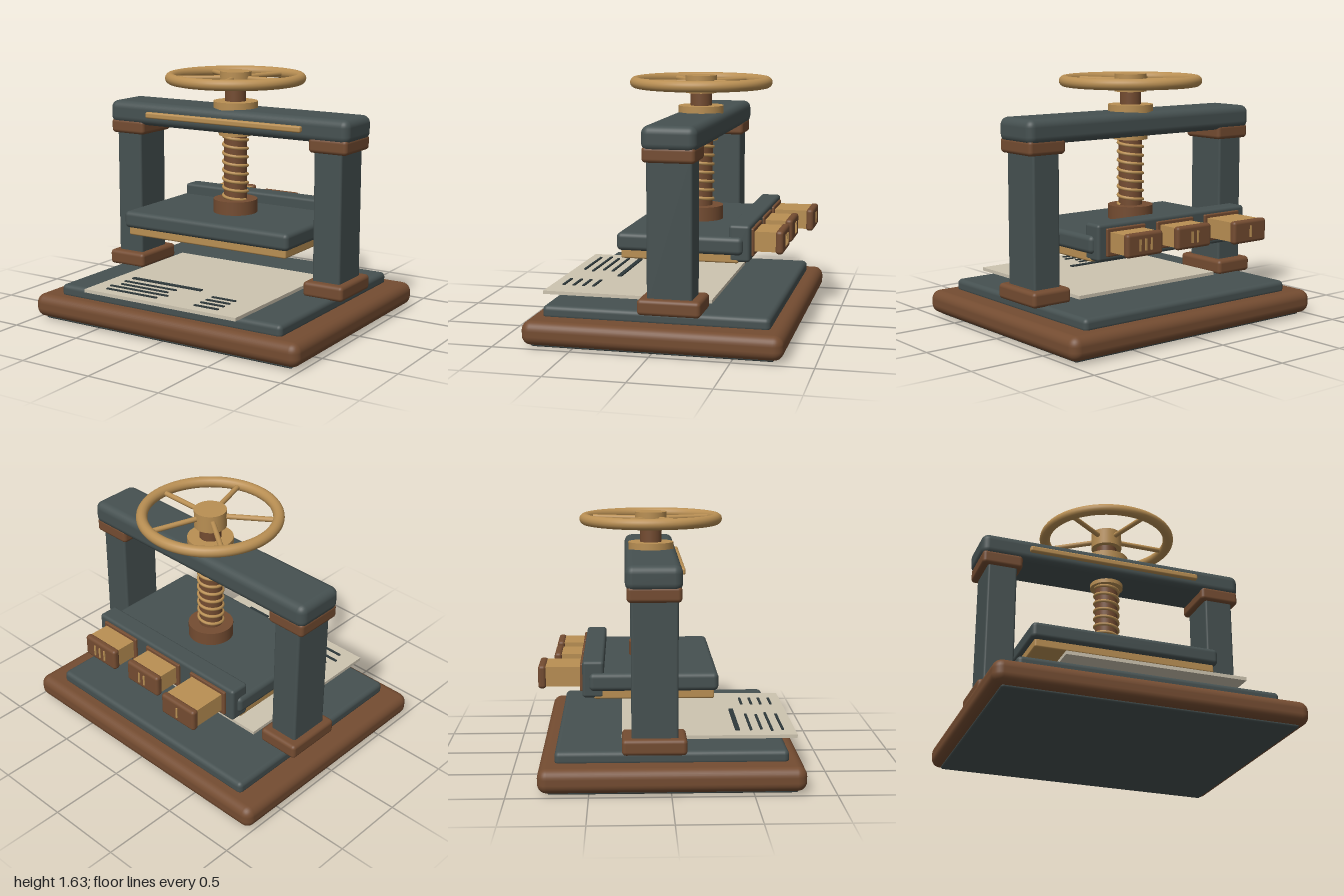
import * as THREE from 'three';
import { RoundedBoxGeometry } from 'three/addons/geometries/RoundedBoxGeometry.js';

const material = (name, color) => {
  const m = new THREE.MeshStandardMaterial({ color });
  m.name = name;
  return m;
};

export function createModel() {
  const steel = material('dark steel', 0x465151);
  const wood = material('walnut', 0x744c31);
  const brass = material('brass', 0xb98f53);
  const paper = material('paper', 0xcdc4b0);
  const ink = material('ink', 0x2e393b);

  const press = new THREE.Group();
  press.name = 'screwPress';
  const SZ = -0.103; // z of the screw axis

  const add = (name, geometry, mat, parent = press) => {
    const mesh = new THREE.Mesh(geometry, mat);
    mesh.name = name;
    parent.add(mesh);
    return mesh;
  };
  // Box given by its limits on each axis; r rounds the edges
  const box = (name, mat, [x0, x1], [y0, y1], [z0, z1], r = 0, parent = press) => {
    const s = [x1 - x0, y1 - y0, z1 - z0];
    const g = r ? new RoundedBoxGeometry(...s, 4, r) : new THREE.BoxGeometry(...s);
    const mesh = add(name, g, mat, parent);
    mesh.position.set((x0 + x1) / 2, (y0 + y1) / 2, (z0 + z1) / 2);
    return mesh;
  };
  // Upright cylinder on the screw axis
  const disc = (name, mat, r, y0, y1) => {
    const mesh = add(name, new THREE.CylinderGeometry(r, r, y1 - y0, 40), mat);
    mesh.position.set(0, (y0 + y1) / 2, SZ);
    return mesh;
  };

  // Base
  box('underPlate', steel, [-0.94, 0.94], [0, 0.04], [-0.75, 0.77], 0.015);
  box('base', wood, [-1, 1], [0.015, 0.168], [-0.81, 0.82], 0.06);
  box('bed', steel, [-0.84, 0.84], [0.15, 0.237], [-0.71, 0.725], 0.03);

  // Printed sheet
  box('sheet', paper, [-0.575, 0.575], [0.243, 0.265], [-0.3, 0.81]);
  const lines = [
    [-0.46, 0.085, 0.44, 0.03],
    [-0.46, -0.05, 0.527, 0.016], [-0.44, -0.07, 0.595, 0.016],
    [-0.48, -0.025, 0.66, 0.016], [-0.455, -0.06, 0.73, 0.016],
    ...[0.527, 0.595, 0.66, 0.73].map((z) => [0.225, 0.4, z, 0.016]),
  ];
  for (const [x0, x1, z, w] of lines) {
    box('printedLine', ink, [x0, x1], [0.264, 0.273], [z - w / 2, z + w / 2]);
  }

  // Columns with feet and caps
  for (const side of [-1, 1]) {
    const column = new THREE.Group();
    column.name = side > 0 ? 'leftColumn' : 'rightColumn';
    press.add(column);
    const span = (a, b) => (side > 0 ? [a, b] : [-b, -a]);
    box('foot', wood, span(0.632, 0.918), [0.23, 0.33], [-0.298, 0.098], 0.025, column);
    box('post', steel, span(0.675, 0.872), [0.3, 1.19], [-0.24, 0.045], 0.015, column);
    box('cap', wood, span(0.64, 0.913), [1.162, 1.26], [-0.265, 0.065], 0.025, column);
  }

  // Crossbeam with front trim
  box('crossbeam', steel, [-0.922, 0.922], [1.228, 1.385], [-0.275, 0.07], 0.05);
  box('beamTrim', brass, [-0.6, 0.6], [1.287, 1.328], [0.05, 0.098], 0.012);

  // Screw, collars and nut
  disc('upperCollar', brass, 0.148, 1.375, 1.428);
  disc('lowerCollar', brass, 0.112, 1.2, 1.24);
  disc('shaft', wood, 0.07, 1.4, 1.53);
  disc('screwCore', wood, 0.077, 0.74, 1.21);
  disc('nut', wood, 0.148, 0.67, 0.768);
  const turns = 7.5;
  const helix = Array.from({ length: turns * 16 + 1 }, (_, i) => {
    const a = (i / 16) * Math.PI * 2;
    return new THREE.Vector3(0.08 * Math.cos(a), 0.765 + (i / (turns * 16)) * 0.435, 0.08 * Math.sin(a));
  });
  add('screwThread', new THREE.TubeGeometry(new THREE.CatmullRomCurve3(helix), 240, 0.011, 8), brass)
    .position.z = SZ;

  // Handwheel
  const wheel = new THREE.Group();
  wheel.name = 'handwheel';
  wheel.position.set(0, 1.58, SZ);
  press.add(wheel);
  add('rim', new THREE.TorusGeometry(0.43, 0.036, 16, 72), brass, wheel).rotation.x = Math.PI / 2;
  add('hub', new THREE.CylinderGeometry(0.104, 0.104, 0.115, 36), brass, wheel).position.y = -0.012;
  for (let i = 0; i < 5; i++) {
    const a = (i / 5) * Math.PI * 2;
    const spoke = add('spoke', new THREE.CylinderGeometry(0.017, 0.017, 0.33, 12), brass, wheel);
    spoke.rotation.set(0, a, Math.PI / 2);
    spoke.position.set(0.245 * Math.cos(a), 0, -0.245 * Math.sin(a));
  }

  // Platen
  box('platen', steel, [-0.635, 0.635], [0.565, 0.678], [-0.5, 0.303], 0.03);
  box('platenFace', brass, [-0.61, 0.61], [0.513, 0.58], [-0.47, 0.278], 0.012);
  box('backRail', steel, [-0.614, 0.611], [0.522, 0.752], [-0.542, -0.408], 0.02);

  // Sliding blocks on the back rail, marked with one, two and three bars
  [[-0.403, -0.82, 1], [0, -0.738, 2], [0.4, -0.738, 3]].forEach(([x, end, marks]) => {
    const block = new THREE.Group();
    block.name = 'slidingBlock';
    press.add(block);
    const around = (w) => [x - w, x + w];
    box('socket', wood, around(0.153), [0.55, 0.725], [-0.558, -0.53], 0.008, block);
    box('body', brass, around(0.13), [0.578, 0.703], [end + 0.02, -0.54], 0, block);
    box('endCap', wood, around(0.141), [0.565, 0.712], [end, end + 0.05], 0.02, block);
    for (let i = 0; i < marks; i++) {
      const mx = x + (i - (marks - 1) / 2) * 0.045;
      box('mark', brass, [mx - 0.007, mx + 0.007], [0.602, 0.675], [end - 0.006, end + 0.003], 0, block);
    }
  });

  return press;
}
